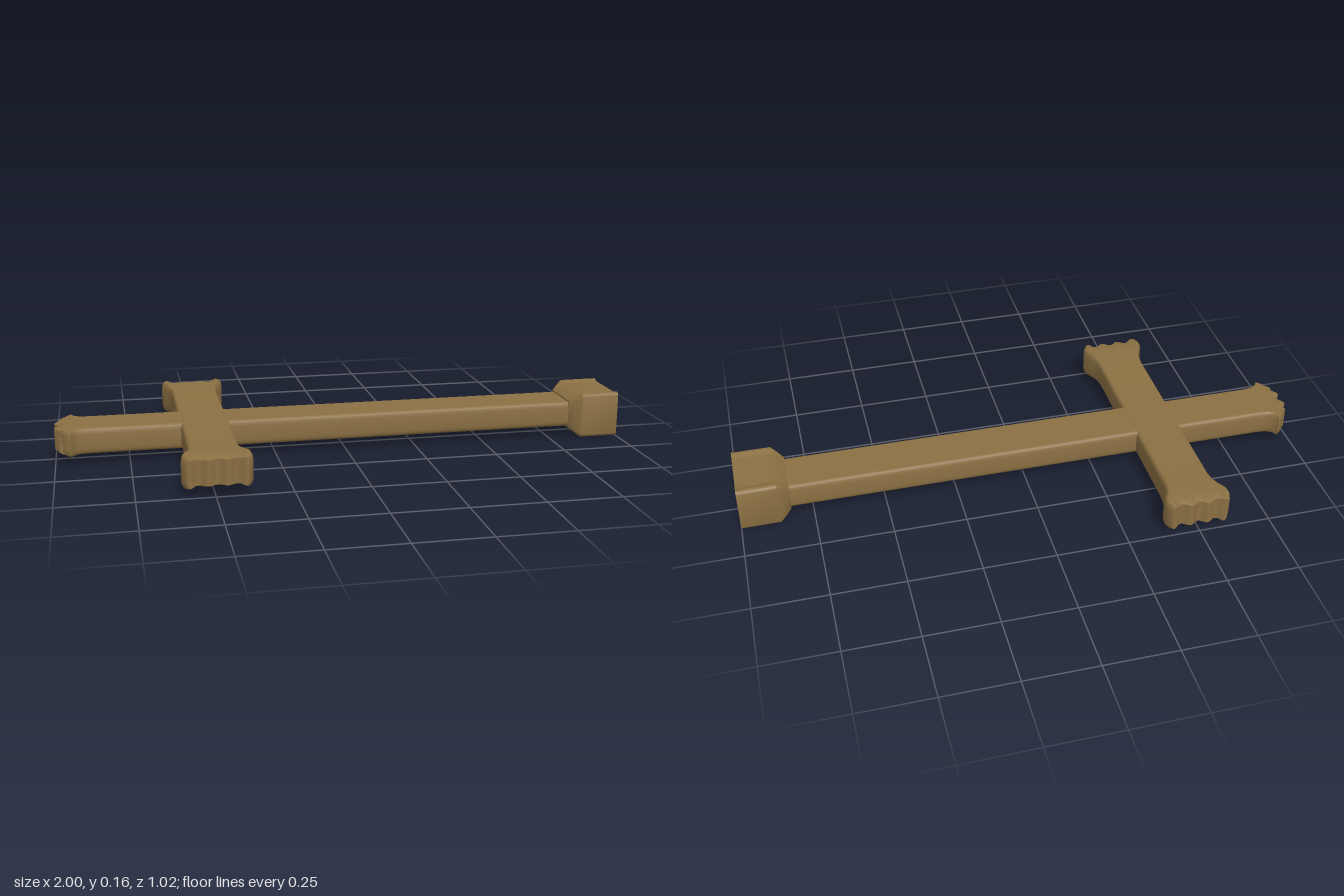
import * as THREE from 'three';
import { toCreasedNormals } from 'three/addons/utils/BufferGeometryUtils.js';

const CENTER_Y = 0.082;

// Lateral stations: even across the flat, tighter round the shoulders
const stations = [];
for (let j = -12; j <= 12; j++) stations.push(j * 0.76 / 12);
for (const u of [0.82, 0.87, 0.91, 0.95, 0.98, 1]) { stations.push(u); stations.unshift(-u); }

// Shoulder height at u: flat (or sunk by dip), then rounded down to the side wall
function heightAt(u, dip, wall) {
  const a = Math.abs(u);
  if (a < 0.87) return 1 - dip * (1 - THREE.MathUtils.smoothstep(a, 0.7, 0.87));
  const k = (a - 0.87) / 0.13;
  return wall + (1 - wall) * Math.sqrt(Math.max(0, 1 - k * k));
}

// Lofts sections [position, halfWidth, halfHeight, dip, notch] along x.
// notch weighs endShape(u), which pushes the points along the axis.
function loft(sections, { wall = 0.55, endShape = () => 0 } = {}) {
  const pos = [], idx = [], n = stations.length, ring = 2 * n;
  for (const [x, w, h, dip = 0, notch = 0] of sections) {
    for (let k = 0; k < ring; k++) {
      const u = stations[k < n ? k : ring - 1 - k];
      const y = h * heightAt(u, dip, wall) * (k < n ? 1 : -1);
      pos.push(x + notch * endShape(u), y, w * u);
    }
  }
  const last = (sections.length - 1) * ring;
  for (let i = 0; i < last; i += ring) {
    for (let k = 0; k < ring; k++) {
      const a = i + k, b = i + (k + 1) % ring;
      idx.push(a, b, a + ring, b, b + ring, a + ring);
    }
  }
  // End caps joining the top and bottom rows
  for (let j = 0; j < n - 1; j++) {
    const t = j, t1 = j + 1, b = ring - 1 - j, b1 = ring - 2 - j;
    idx.push(last + b, last + t, last + t1, last + b, last + t1, last + b1);
    idx.push(b, t1, t, b, b1, t1);
  }
  const g = new THREE.BufferGeometry();
  g.setAttribute('position', new THREE.Float32BufferAttribute(pos, 3));
  g.setIndex(idx);
  return toCreasedNormals(g, 0.65);
}

// Four lobes across an end
const scallop = (u) => 0.016 * (0.5 + 0.5 * Math.cos(2 * Math.PI * u / 0.6));

export function createModel() {
  const group = new THREE.Group();
  const material = new THREE.MeshStandardMaterial({ color: 0x8b7043 });
  const add = (name, geometry) => {
    const mesh = new THREE.Mesh(geometry, material);
    mesh.name = name;
    mesh.position.y = CENTER_Y;
    group.add(mesh);
    return mesh;
  };

  // Long shaft with a stepped, lobed tip
  add('shaft', loft([
    [-1.0, 0.098, 0.038, 0.05, 1],
    [-0.99, 0.106, 0.043, 0.05, 1],
    [-0.97, 0.114, 0.046, 0.06, 0.7],
    [-0.95, 0.115, 0.047, 0.06, 0.2],
    [-0.935, 0.1, 0.046, 0.04],
    [-0.915, 0.088, 0.045],
    [-0.88, 0.084, 0.045],
    [0.88, 0.084, 0.045],
  ], {
    endShape: (u) => scallop(u) + 0.03 * THREE.MathUtils.smoothstep(Math.abs(u), 0.7, 0.85),
  }));

  // Crossbar with flared, scalloped ends, mirrored about the shaft
  const half = [
    [0.35, 0.083, 0.046],
    [0.39, 0.086, 0.05, 0.03],
    [0.425, 0.097, 0.054, 0.08],
    [0.455, 0.112, 0.057, 0.12],
    [0.475, 0.114, 0.056, 0.12, 0.3],
    [0.495, 0.108, 0.053, 0.12, 0.8],
    [0.508, 0.1, 0.047, 0.1, 1],
  ];
  const mirrored = half.map(([x, w, h, d = 0, s = 0]) => [-x, w, h, d, -s]).reverse();
  const flipped = mirrored.concat(half.map(([x, w, h, d = 0, s = 0]) => [x, w, h, d, s]));
  const bar = add('crossbar', loft(flipped, { endShape: (u) => -scallop(u) }));
  bar.rotation.y = Math.PI / 2;
  bar.position.x = -0.492;

  // Square block at the foot of the shaft, hollowed slightly on its faces
  add('footBlock', loft([
    [0.825, 0.086, 0.05],
    [0.84, 0.1, 0.062, 0.04],
    [0.865, 0.116, 0.081, 0.09],
    [0.93, 0.117, 0.081, 0.09],
    [1.0, 0.117, 0.081, 0.09],
  ], { wall: 0.86 }));

  return group;
}
